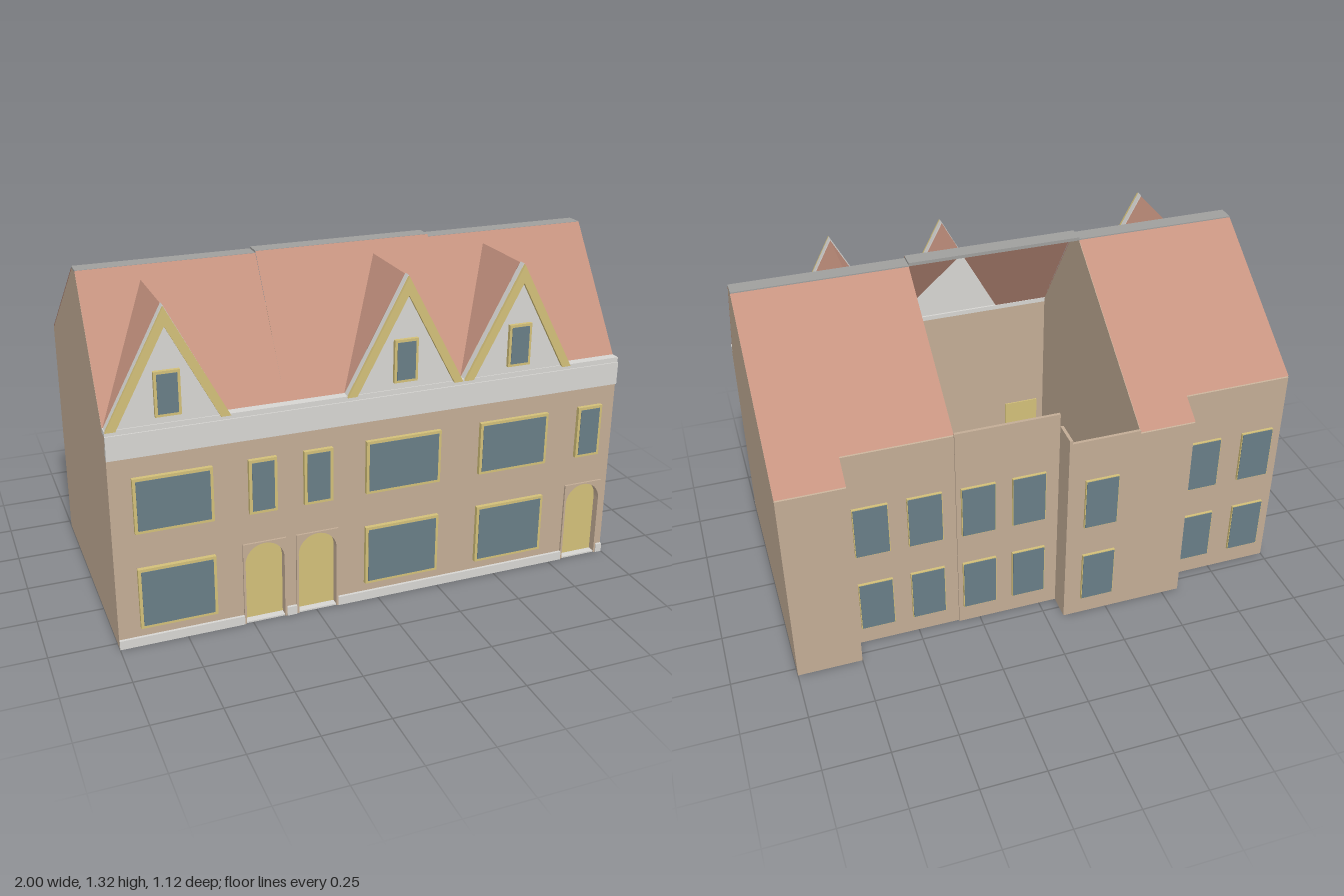
import * as THREE from 'three';

const mat = (name, color, side = THREE.FrontSide) => {
  const m = new THREE.MeshStandardMaterial({ color, side });
  m.name = name;
  return m;
};

export function createModel() {
  const group = new THREE.Group();
  const wall = mat('wallTan', 0xc2ac95);
  const roofRed = mat('roofTile', 0xc69380, THREE.DoubleSide);
  const white = mat('trimWhite', 0xd6d5d2);
  const grey = mat('ridgeGrey', 0x9f9f9d);
  const gold = mat('frameYellow', 0xd2bf79);
  const glass = mat('glassBlue', 0x687d86);

  const add = (name, geo, m) => {
    const mesh = new THREE.Mesh(geo, m);
    mesh.name = name;
    group.add(mesh);
    return mesh;
  };
  // Box given by its limits
  const box = (name, m, x0, x1, y0, y1, z0, z1) => {
    const g = new THREE.BoxGeometry(x1 - x0, y1 - y0, z1 - z0);
    g.translate((x0 + x1) / 2, (y0 + y1) / 2, (z0 + z1) / 2);
    return add(name, g, m);
  };
  const poly = (pts) => new THREE.Shape(pts.map((p) => new THREE.Vector2(p[0], p[1])));
  // Front-facing shape extruded between two depths
  const slab = (name, m, shape, z0, z1) => {
    const g = new THREE.ExtrudeGeometry(shape, { depth: z1 - z0, bevelEnabled: false, curveSegments: 10 });
    g.translate(0, 0, z0);
    return add(name, g, m);
  };

  // Shared roof section
  const EAVE = 0.845, FRONT = 0.535, EAVE_Z = 0.505, RIDGE_F = 0.19, RIDGE_B = 0.13;
  const rearY = (z, top) => top - (RIDGE_B - z) * 0.684;
  const houses = [
    { x0: -1, x1: -0.35, top: 1.308, dormer: [-0.78, 0.219, 1.262], solid: true,
      rear: [[-1, -0.57, -0.462], [-0.57, -0.35, -0.55]] },
    { x0: -0.35, x1: 0.335, top: 1.315, dormer: [0.1, 0.229, 1.27], solid: false,
      rear: [[-0.35, -0.07, -0.55], [-0.07, 0.335, -0.45]] },
    { x0: 0.335, x1: 1, top: 1.305, dormer: [0.56, 0.224, 1.265], solid: true,
      rear: [[0.335, 0.75, -0.443], [0.75, 1, -0.536]] },
  ];

  // Sloped roof panel: outline in (x, t), t running from the lower to the upper edge
  const slope = (name, pts, y0, z0, y1, z1) => {
    const g = new THREE.ShapeGeometry(poly(pts));
    const p = g.attributes.position;
    for (let i = 0; i < p.count; i++) {
      const t = p.getY(i);
      p.setXYZ(i, p.getX(i), y0 + t * (y1 - y0), z0 + t * (z1 - z0));
    }
    g.computeVertexNormals();
    return add(name, g, roofRed);
  };

  for (const h of houses) {
    const [cx, w, dTop] = h.dormer;
    // Front roof, notched under the dormer
    const t = (dTop - EAVE) / (h.top - EAVE);
    slope('frontRoof', [[h.x0, 0], [cx - w, 0], [cx, t], [cx + w, 0], [h.x1, 0], [h.x1, 1], [h.x0, 1]],
      EAVE, EAVE_Z, h.top, RIDGE_F);
    box('ridgeCap', grey, h.x0, h.x1, h.top - 0.012, h.top + 0.001, RIDGE_B - 0.005, RIDGE_F);

    for (const [x0, x1, zb] of h.rear) {
      const yb = rearY(zb, h.top);
      if (h.solid) {
        // Closed house body with gable profile, extruded along x
        const d = 0.006;
        const g = new THREE.ExtrudeGeometry(poly([[zb, 0], [0.5, 0], [0.5, EAVE],
          [RIDGE_F, h.top - d], [RIDGE_B, h.top - d], [zb, yb - d]]), { depth: x1 - x0, bevelEnabled: false });
        g.rotateY(-Math.PI / 2);
        g.translate(x1, 0, 0);
        add('houseBody', g, wall);
        slope('rearRoof', [[x1, 0], [x0, 0], [x0, 1], [x1, 1]], yb, zb, h.top, RIDGE_B);
      } else {
        // Roofless rear: floor and rear wall only
        box('floor', wall, x0, x1, 0, 0.01, zb, 0.5);
        box('rearWall', wall, x0, x1, 0, yb, zb, zb + 0.012);
      }
    }

    // Dormer roof sides
    const zr = EAVE_Z + t * (RIDGE_F - EAVE_Z);
    const g = new THREE.BufferGeometry();
    g.setAttribute('position', new THREE.Float32BufferAttribute([
      cx + w, EAVE, EAVE_Z, cx, dTop, zr, cx, dTop, EAVE_Z,
      cx - w, EAVE, EAVE_Z, cx, dTop, EAVE_Z, cx, dTop, zr], 3));
    g.computeVertexNormals();
    add('dormerRoof', g, roofRed);
    // Dormer gable with barge boards
    slab('dormerGable', white, poly([[cx - w, EAVE], [cx + w, EAVE], [cx, dTop + 0.004]]), 0.508, 0.534);
    const k = 0.036;
    slab('bargeBoards', gold, poly([[cx - w, EAVE], [cx - w + k, EAVE], [cx, dTop - k * 1.9],
      [cx + w - k, EAVE], [cx + w, EAVE], [cx, dTop]]), 0.534, 0.546);
  }
  box('rearReturnWall', wall, -0.082, -0.07, 0, 0.865, -0.55, -0.45);

  // Facade with arched door openings
  const doors = [-0.45, -0.245, 0.89], R = 0.075, SPRING = 0.25;
  const archedWall = (x0, x1, top, centres) => {
    const s = new THREE.Shape();
    s.moveTo(x0, 0);
    for (const c of centres) {
      s.lineTo(c - R, 0);
      s.lineTo(c - R, SPRING);
      s.absarc(c, SPRING, R, Math.PI, 0, true);
      s.lineTo(c + R, 0);
    }
    s.lineTo(x1, 0);
    s.lineTo(x1, top);
    s.lineTo(x0, top);
    s.closePath();
    return s;
  };
  slab('facade', wall, archedWall(-1, 1, 0.83, doors), 0.5, FRONT);
  for (const c of doors) {
    slab('doorSurround', wall, archedWall(c - 0.083, c + 0.083, 0.33, [c]), FRONT, 0.543);
    box('door', gold, c - R, c + R, 0.004, 0.325, 0.495, 0.512);
    box('doorStep', white, c - R, c + R, 0, 0.006, 0.5, 0.54);
  }

  // Plinth between the doors, cornice and eaves ledge
  for (const [a, b] of [[-1, -0.533], [-0.367, -0.328], [-0.162, 0.807], [0.973, 1]])
    box('plinth', white, a, b, 0, 0.035, FRONT, 0.546);
  box('cornice', white, -1, 1, 0.74, 0.83, FRONT - 0.01, 0.543);
  box('eavesLedge', white, -1, 1, 0.83, 0.849, 0.5, 0.538);

  // Window: yellow frame block with a glass plate; dir is the facing along z
  const windowAt = (x0, x1, y0, y1, z, dir, depth, rim) => {
    const a = z, b = z + dir * depth, c = b + dir * 0.002;
    box('windowFrame', gold, x0, x1, y0, y1, Math.min(a, b), Math.max(a, b));
    box('windowGlass', glass, x0 + rim, x1 - rim, y0 + rim, y1 - rim, Math.min(b, c), Math.max(b, c));
  };
  for (const [a, b] of [[-0.92, -0.635], [-0.055, 0.245], [0.41, 0.7]]) {
    windowAt(a, b, 0.073, 0.312, FRONT, 1, 0.016, 0.011);
    windowAt(a, b, 0.453, 0.664, FRONT, 1, 0.016, 0.011);
  }
  for (const [a, b] of [[-0.505, -0.4], [-0.297, -0.187], [0.835, 0.94]])
    windowAt(a, b, 0.453, 0.664, FRONT, 1, 0.016, 0.011);
  for (const x of [-0.78, 0.095, 0.557])
    windowAt(x - 0.046, x + 0.046, 0.877, 1.04, 0.534, 1, 0.014, 0.01);

  // Rear windows on two floors
  const rearWindows = [[-0.895, -0.462], [-0.67, -0.462], [-0.205, -0.55],
    [0.05, -0.45], [0.25, -0.45], [0.455, -0.443], [0.66, -0.443]];
  for (const [x, z] of rearWindows)
    for (const y of [0.08, 0.445]) windowAt(x - 0.067, x + 0.067, y, y + 0.225, z, -1, 0.01, 0.003);

  return group;
}
